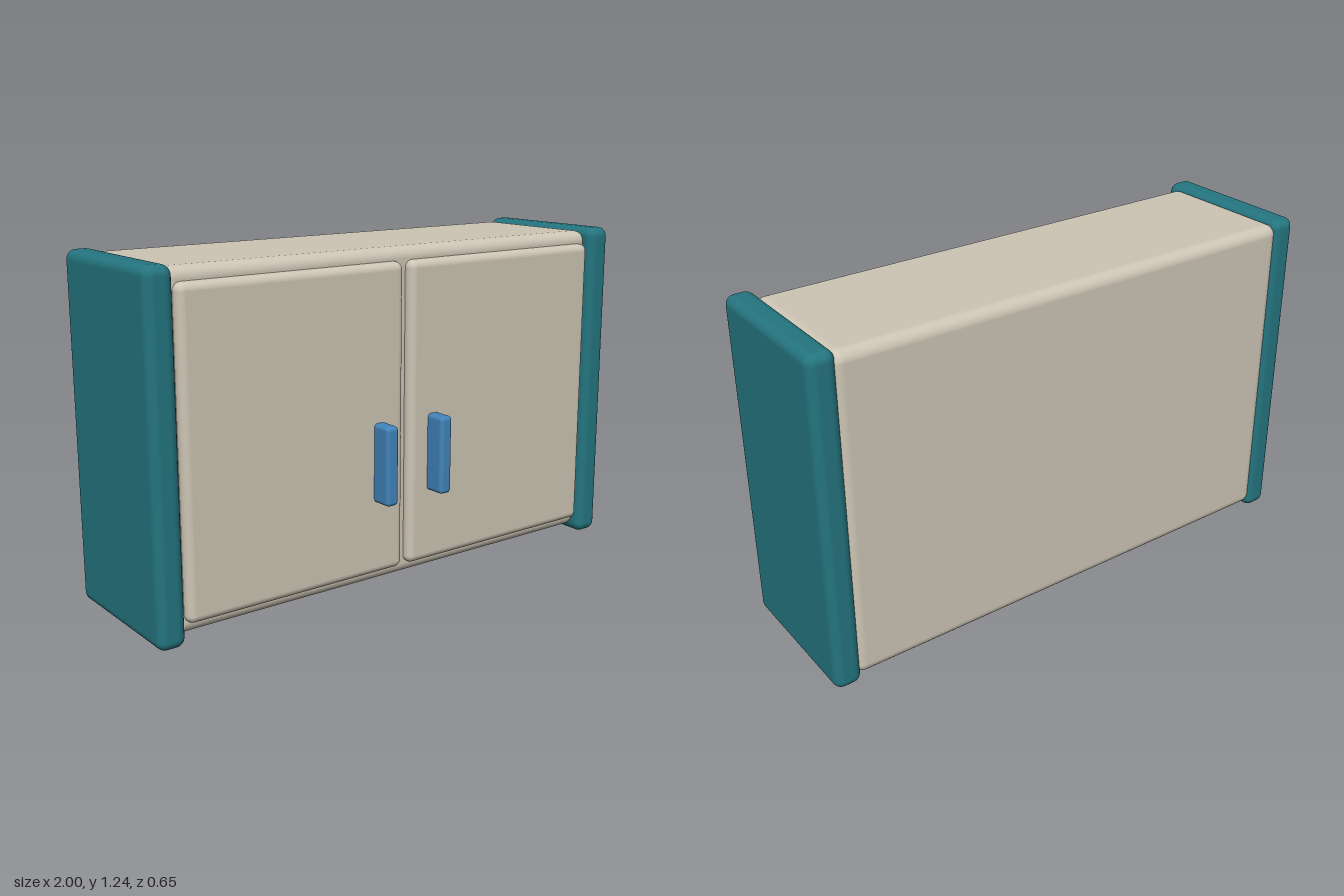
import * as THREE from 'three';
import { RoundedBoxGeometry } from 'three/addons/geometries/RoundedBoxGeometry.js';

const material = (name, color) => {
  const m = new THREE.MeshStandardMaterial({ color });
  m.name = name;
  return m;
};

export function createModel() {
  const cabinet = new THREE.Group();
  cabinet.name = 'wallCabinet';
  const beige = material('beige', 0xcdc5b5);
  const teal = material('teal', 0x24757f);
  const blue = material('blue', 0x4284ba);

  // Rounded block given by its lower and upper corners
  const block = (name, mat, lo, hi, radius) => {
    const size = hi.map((v, i) => v - lo[i]);
    const mesh = new THREE.Mesh(new RoundedBoxGeometry(...size, 5, radius), mat);
    mesh.position.set(...hi.map((v, i) => (v + lo[i]) / 2));
    mesh.name = name;
    cabinet.add(mesh);
  };

  // Carcass, its ends sunk into the side panels
  block('carcass', beige, [-0.92, 0.025, -0.325], [0.92, 1.222, 0.215], 0.04);

  for (const [side, s] of [['left', 1], ['right', -1]]) {
    // Mirror an x range to this side
    const part = (name, mat, x, y, z, r) => {
      const [x0, x1] = x.map((v) => v * s).sort((a, b) => a - b);
      block(side + name, mat, [x0, y[0], z[0]], [x1, y[1], z[1]], r);
    };
    part('SidePanel', teal, [0.9, 1], [0, 1.235], [-0.327, 0.255], 0.034);
    part('Door', beige, [0.014, 0.89], [0.068, 1.176], [0.18, 0.25], 0.028);
    part('Handle', blue, [0.095, 0.146], [0.338, 0.624], [0.235, 0.327], 0.015);
  }
  return cabinet;
}
